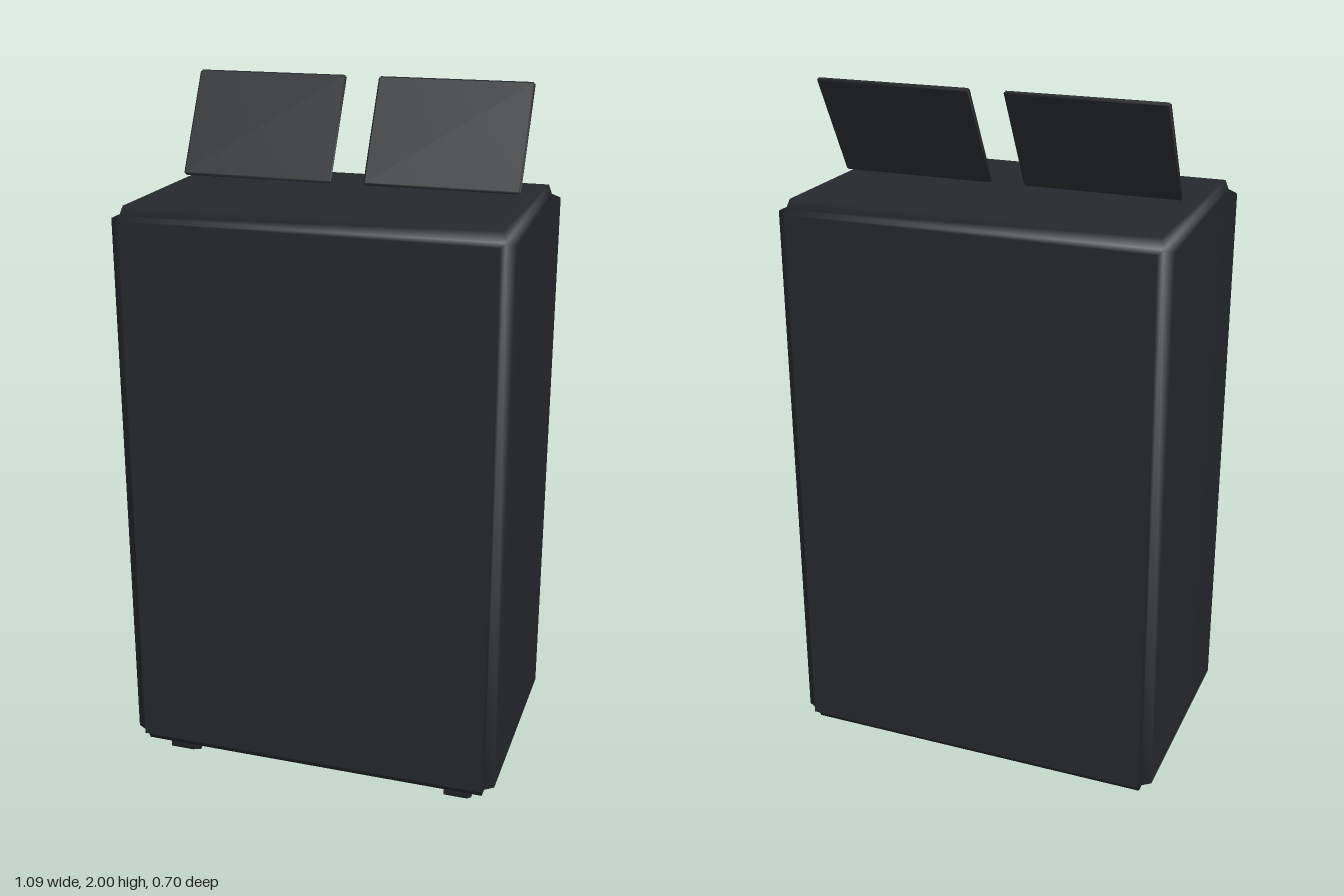
import * as THREE from 'three';
import { mergeVertices } from 'three/addons/utils/BufferGeometryUtils.js';

const dark = new THREE.MeshStandardMaterial({ color: 0x25282c });

// Box whose six faces are raised panels, leaving a notch along every edge.
// inset: panel height above the core, taper: how much each panel narrows.
function notchedBox(width, height, depth, inset, taper) {
  const half = [width / 2, height / 2, depth / 2];
  const loop = [[-1, -1], [1, -1], [1, 1], [-1, 1]];
  const positions = [];
  const quad = (a, b, c, d) => positions.push(...a, ...b, ...c, ...a, ...c, ...d);
  for (let a = 0; a < 3; a++) {
    const u = (a + 1) % 3, v = (a + 2) % 3;
    for (const s of [-1, 1]) {
      const ring = (level, shrink) => {
        const pts = loop.map(([i, j]) => {
          const p = [0, 0, 0];
          p[a] = s * (half[a] - level);
          p[u] = i * (half[u] - shrink);
          p[v] = j * (half[v] - shrink);
          return p;
        });
        return s > 0 ? pts : pts.reverse();
      };
      const base = ring(inset, inset), outer = ring(0, inset + taper);
      quad(...outer);
      for (let i = 0; i < 4; i++) {
        const n = (i + 1) % 4;
        quad(base[i], base[n], outer[n], outer[i]);
      }
    }
  }
  const geometry = new THREE.BufferGeometry();
  geometry.setAttribute('position', new THREE.Float32BufferAttribute(positions, 3));
  const smooth = mergeVertices(geometry, 1e-5);
  smooth.computeVertexNormals();
  return smooth;
}

function addPart(group, name, geometry, x, y, z) {
  const mesh = new THREE.Mesh(geometry, dark);
  mesh.name = name;
  mesh.position.set(x, y, z);
  group.add(mesh);
  return mesh;
}

export function createModel() {
  const group = new THREE.Group();
  group.name = 'cabinetOnWheels';

  // Tall main body
  addPart(group, 'body', notchedBox(1.09, 1.62, 0.7, 0.027, 0.008), 0, 0.89, 0);

  // Six-sided wheels under the front edge, one corner down
  const wheel = new THREE.CylinderGeometry(0.07, 0.07, 0.07, 6);
  wheel.rotateZ(Math.PI / 2).rotateX(Math.PI / 2);

  // Thin plates floating above the top, leaning backwards
  const plate = notchedBox(0.436, 0.312, 0.014, 0.004, 0.001);

  for (const [side, s] of [['left', 1], ['right', -1]]) {
    addPart(group, side + 'Wheel', wheel, s * 0.425, 0.07, 0.215);
    addPart(group, side + 'Plate', plate, s * 0.265, 1.86, -0.108).rotation.x = -0.5;
  }
  return group;
}
